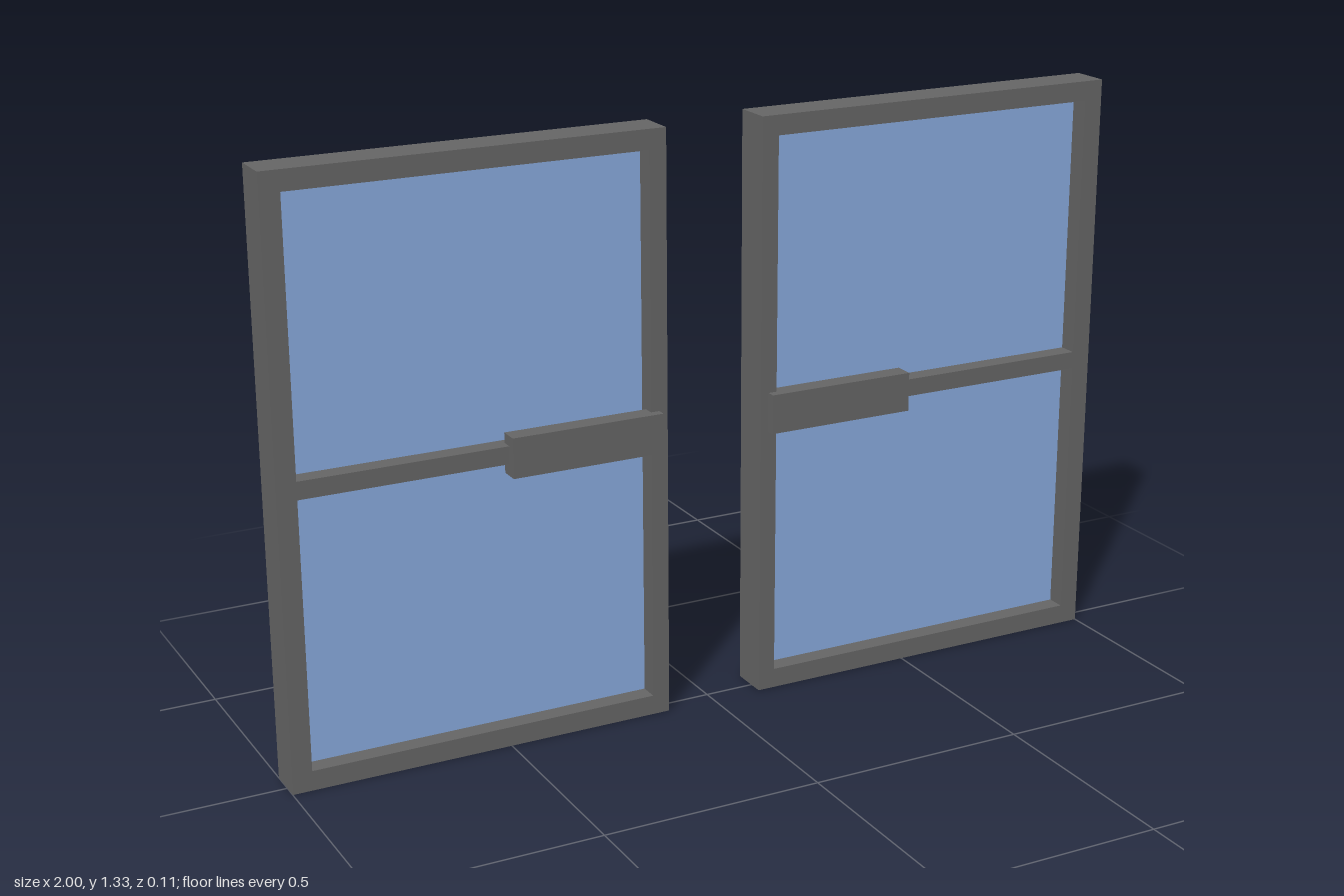
import * as THREE from 'three';

const frameMat = new THREE.MeshStandardMaterial({ color: 0x666666 });
const glassMat = new THREE.MeshStandardMaterial({ color: 0x88aadd });

// Door extents (right-hand leaf) and key depths
const X0 = 0.115, X1 = 1, H = 1.333;
const BACK = -0.055, GLASS = -0.01, FRONT = 0.035;
const OPEN_X0 = 0.155, OPEN_X1 = 0.955;
const PANES = [[0.045, 0.65], [0.69, 1.288]];

function box(name, mat, x0, x1, y0, y1, z0, z1) {
  const mesh = new THREE.Mesh(new THREE.BoxGeometry(x1 - x0, y1 - y0, z1 - z0), mat);
  mesh.position.set((x0 + x1) / 2, (y0 + y1) / 2, (z0 + z1) / 2);
  mesh.name = name;
  return mesh;
}

function rectangle(target, x0, x1, y0, y1) {
  target.moveTo(x0, y0);
  target.lineTo(x1, y0);
  target.lineTo(x1, y1);
  target.lineTo(x0, y1);
  target.closePath();
  return target;
}

// side: 1 for the left leaf (+x), -1 for the right leaf
function createDoor(side) {
  const door = new THREE.Group();
  door.name = side > 0 ? 'leftDoor' : 'rightDoor';
  const span = (a, b) => (side > 0 ? [a, b] : [-b, -a]);

  // Solid back panel
  door.add(box('backPanel', frameMat, ...span(X0, X1), 0, H, BACK, GLASS));

  // Raised frame with a middle rail between two openings
  const outline = rectangle(new THREE.Shape(), ...span(X0, X1), 0, H);
  for (const [y0, y1] of PANES) {
    outline.holes.push(rectangle(new THREE.Path(), ...span(OPEN_X0, OPEN_X1), y0, y1));
  }
  const frame = new THREE.Mesh(
    new THREE.ExtrudeGeometry(outline, { depth: FRONT - GLASS, bevelEnabled: false }),
    frameMat
  );
  frame.position.z = GLASS;
  frame.name = 'frame';
  door.add(frame);

  // Glass panes set at the bottom of the recesses
  PANES.forEach(([y0, y1], i) => {
    door.add(box(i ? 'upperGlass' : 'lowerGlass', glassMat,
      ...span(OPEN_X0, OPEN_X1), y0, y1, GLASS - 0.002, GLASS + 0.002));
  });

  // Wide push handle over the middle rail
  door.add(box('handle', frameMat, ...span(0.135, 0.488), 0.623, 0.713, 0.01, 0.055));
  return door;
}

export function createModel() {
  const model = new THREE.Group();
  model.name = 'doubleDoors';
  for (const side of [-1, 1]) model.add(createDoor(side));
  return model;
}
